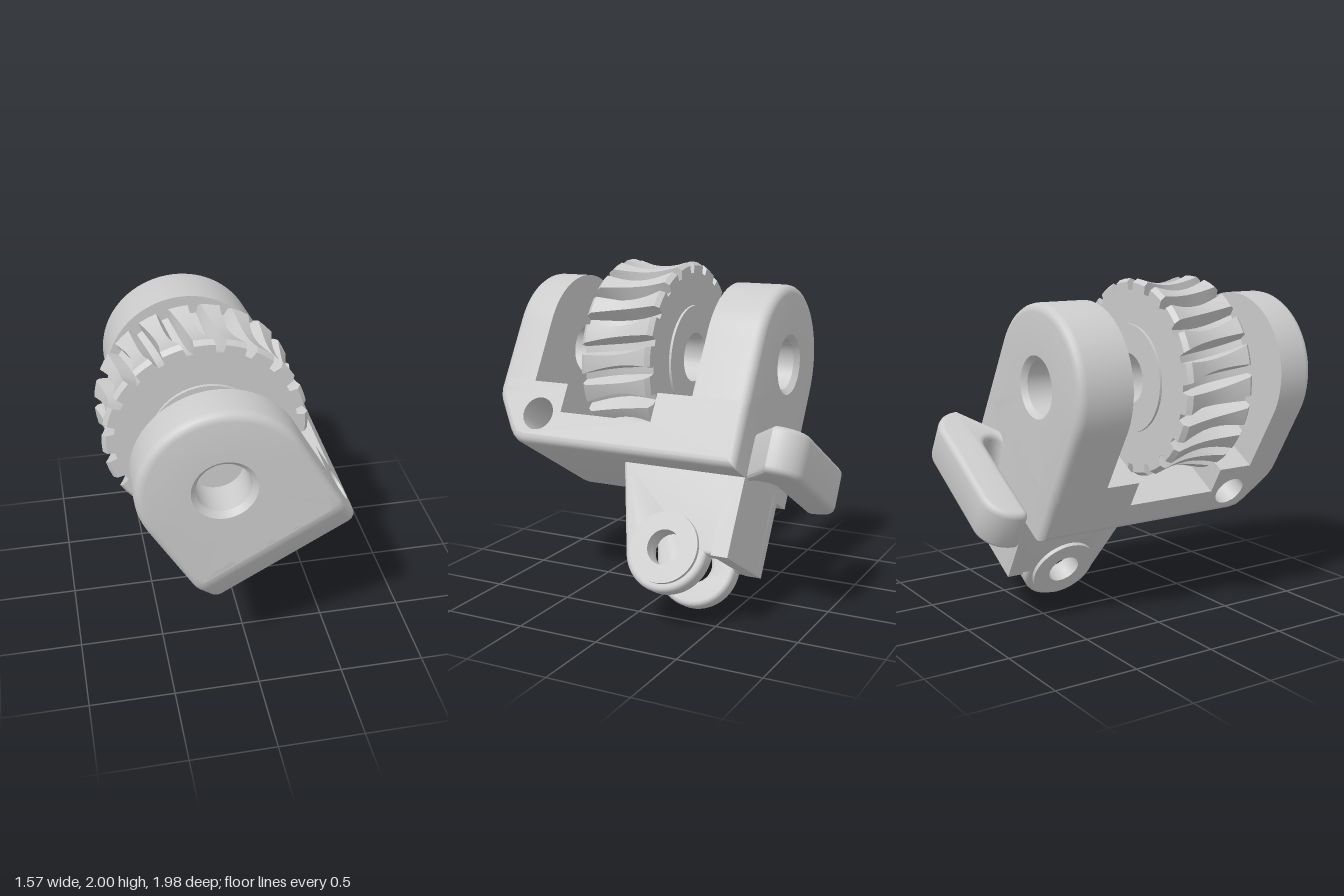
import * as THREE from 'three';
import { toCreasedNormals } from 'three/addons/utils/BufferGeometryUtils.js';

const mat = new THREE.MeshStandardMaterial({ color: 0xcccccc });
const R = 0.47;      // half width of the housing
const EDGE = 0.05;   // edge rounding of the housing
const FLOOR = -0.4;  // upper floor between the arms
const BOTTOM = -0.78;
const PIVOT = -1.24; // height of the lug holes

function add(parent, name, geometry) {
  const mesh = new THREE.Mesh(toCreasedNormals(geometry, 0.6), mat);
  mesh.name = name;
  parent.add(mesh);
  return mesh;
}

// skin over rings of [x, y, z] points; wrap joins the last ring to the first
function loft(rings, wrap) {
  const n = rings[0].length, index = [];
  const last = wrap ? rings.length : rings.length - 1;
  for (let i = 0; i < last; i++) {
    const k = (i + 1) % rings.length;
    for (let j = 0; j < n; j++) {
      const m = (j + 1) % n;
      const a = i * n + j, b = i * n + m, c = k * n + m, d = k * n + j;
      index.push(a, b, c, a, c, d);
    }
  }
  const g = new THREE.BufferGeometry();
  g.setAttribute('position', new THREE.Float32BufferAttribute(rings.flat(2), 3));
  g.setIndex(index);
  return g;
}

// quarter-round steps: t = distance from the end, d = inset
const rounding = (r, n = 4) => Array.from({ length: n + 1 }, (_, k) => {
  const a = (k / n) * Math.PI / 2;
  return { t: r * (1 - Math.sin(a)), d: r * (1 - Math.cos(a)) };
});

// extrusion with rounded ends kept inside the given outline and depth
function extrude(shape, depth, r) {
  return new THREE.ExtrudeGeometry(shape, {
    depth: depth - 2 * r, bevelEnabled: r > 0, bevelSize: r, bevelThickness: r,
    bevelOffset: -r, bevelSegments: 3, curveSegments: 24,
  }).translate(0, 0, r);
}

function circleHole(x, y, r) {
  return new THREE.Path().absarc(x, y, r, 0, Math.PI * 2, true);
}

// arched bearing arm with a countersunk bore; the outer face is at z = outer
function arm(inner, outer) {
  const s = Math.sign(outer - inner), N = 80;
  const ring = (f, z) => Array.from({ length: N }, (_, j) => {
    const a = (j / N) * Math.PI * 2, r = f(a);
    return [r * Math.cos(a), r * Math.sin(a), z];
  });
  const arch = (d) => (a) => Math.sin(a) >= -1e-9 ? R - d
    : Math.min((R - d) / Math.max(1e-6, Math.abs(Math.cos(a))), R / Math.abs(Math.sin(a)));
  const rings = [ring(arch(0), inner)];
  for (const { t, d } of rounding(EDGE)) rings.push(ring(arch(d), outer - s * t));
  rings.push(ring(() => 0.18, outer), ring(() => 0.15, outer - s * 0.03), ring(() => 0.15, inner));
  if (s < 0) rings.reverse();
  return loft(rings, true);
}

// side outline of the base as [z, y], inset by d at front, bottom and back
const baseOutline = (d) => [
  [0.99 - d, FLOOR], [0.99 - d, -0.46], [0.982 - d, -0.5], [0.965 - d, -0.535],
  [0.85 - d * 0.6, -0.71 + d * 0.6], [0.82 - d * 0.5, -0.745 + d * 0.8], [0.785, -0.77 + d], [0.74, BOTTOM + d],
  [-0.64 + d, BOTTOM + d], [-0.64 + d, FLOOR], [-0.08, FLOOR], [-0.08, -0.577],
  [0.52, -0.577], [0.52, FLOOR],
];

function addBase(parent) {
  const base = new THREE.Group();
  base.name = 'base';
  parent.add(base);
  const steps = rounding(EDGE);
  const ring = (x, d) => baseOutline(d).map(([z, y]) => [x, y, z]);
  const rings = [
    ...[...steps].reverse().map(({ t, d }) => ring(-R + t, d)),
    ...steps.map(({ t, d }) => ring(R - t, d)),
  ];
  add(base, 'baseWalls', loft(rings, false));
  // side faces pierced by the cross hole
  for (const s of [1, -1]) {
    const shape = new THREE.Shape(baseOutline(EDGE).map(([z, y]) => new THREE.Vector2(-s * z, y)));
    shape.holes.push(circleHole(-s * 0.67, -0.6, 0.1));
    add(base, 'baseSide', new THREE.ShapeGeometry(shape, 24).rotateY(s * Math.PI / 2).translate(s * R, 0, 0));
  }
  const bore = add(base, 'crossHole',
    new THREE.CylinderGeometry(0.1, 0.1, 2 * R, 32, 1, true).rotateZ(Math.PI / 2).translate(0, -0.6, 0.67));
  bore.material = mat.clone();
  bore.material.side = THREE.DoubleSide;
}

// worm wheel with slanted teeth, a hollowed rim and grooves widest at mid-face
function gear() {
  const teeth = 20, z0 = -0.005, z1 = 0.45, deg = Math.PI / 180;
  const section = (t) => {
    const mid = Math.sin(Math.PI * t), end = t === 0 || t === 1;
    const tip = end ? 0.56 : 0.59 - 0.045 * mid;
    const root = 0.515 - 0.06 * mid;
    const gap = 0.17 + 0.14 * mid, floor = 0.12 + 0.03 * mid;
    const start = (15.5 + 8 * (1 - t)) * deg;
    const pts = [];
    for (let i = 0; i < teeth; i++) {
      for (const [phase, r] of [[-floor, root], [floor, root], [gap, tip], [0.5, tip], [1 - gap, tip]]) {
        pts.push([start + (i + phase) * Math.PI * 2 / teeth, r]);
      }
    }
    return pts;
  };
  const place = (pts, z, fixed) => pts.map(([a, r]) => [(fixed || r) * Math.cos(a), (fixed || r) * Math.sin(a), z]);
  const ts = [0, 0.06, 0.15, 0.27, 0.38, 0.5, 0.62, 0.73, 0.85, 0.94, 1];
  const rings = [place(section(0), z0, 0.15)];
  for (const t of ts) rings.push(place(section(t), z0 + (z1 - z0) * t));
  rings.push(place(section(1), z1, 0.15));
  rings.push(place(section(0), z0, 0.15));
  return loft(rings, false);
}

// L-shaped hook behind the base, drawn in plan with y = -z
function hook() {
  const s = new THREE.Shape();
  s.moveTo(R, 0.5);
  s.absarc(R - 0.17, 0.817, 0.17, 0, Math.PI / 2, false);
  s.absarc(-0.29, 0.807, 0.18, Math.PI / 2, Math.PI, false);
  s.quadraticCurveTo(-0.47, 0.77, -0.43, 0.77);
  s.absarc(0.14, 0.705, 0.065, Math.PI / 2, -Math.PI / 2, true);
  s.lineTo(0.1, 0.64);
  s.lineTo(0.1, 0.5);
  return extrude(s, 0.27, 0.035).rotateX(-Math.PI / 2).translate(0, BOTTOM, 0);
}

// hanging lug, drawn from the side with x = -z
function lug() {
  const s = new THREE.Shape();
  s.moveTo(-0.13, -0.7);
  s.lineTo(-0.13, -0.79);
  s.absarc(0.26, PIVOT, 0.248, Math.PI * 1.092, Math.PI * 2, false);
  s.lineTo(0.64, PIVOT);
  s.lineTo(0.64, -0.7);
  s.holes.push(circleHole(0.26, PIVOT, 0.1));
  return extrude(s, 0.115, 0.025).rotateY(Math.PI / 2);
}

function boss() {
  const s = new THREE.Shape().absarc(0.26, PIVOT, 0.205, 0, Math.PI * 2, false);
  s.holes.push(circleHole(0.26, PIVOT, 0.1));
  return extrude(s, 0.05, 0).rotateY(Math.PI / 2);
}

export function createModel() {
  const model = new THREE.Group();
  model.name = 'wormWheelBracket';
  // everything is built about the wheel axle, then tilted
  const tilt = new THREE.Group();
  tilt.name = 'tiltedAssembly';
  tilt.position.set(-0.2, 1.42, 0);
  tilt.rotation.z = Math.PI / 6;
  model.add(tilt);

  add(tilt, 'frontArm', arm(0.75, 0.99));
  add(tilt, 'backArm', arm(-0.3, -0.64));
  addBase(tilt);
  add(tilt, 'hook', hook());

  add(tilt, 'wormWheel', gear());
  const hub = [[0.15, -0.02], [0.32, -0.02], [0.32, 0.47], [0.15, 0.47], [0.15, -0.02]]
    .map(([r, z]) => new THREE.Vector2(r, z));
  add(tilt, 'hub', new THREE.LatheGeometry(hub, 64).rotateX(Math.PI / 2));

  for (const s of [1, -1]) {
    add(tilt, 'lug', lug().translate(s > 0 ? 0.165 : -0.28, 0, 0));
    add(tilt, 'lugBoss', boss().translate(s > 0 ? 0.255 : -0.305, 0, 0));
  }
  // web joining the lugs along the back
  add(tilt, 'lugWeb', new THREE.BoxGeometry(0.56, 0.54, 0.1).translate(0, PIVOT + 0.27, -0.59));
  return model;
}
